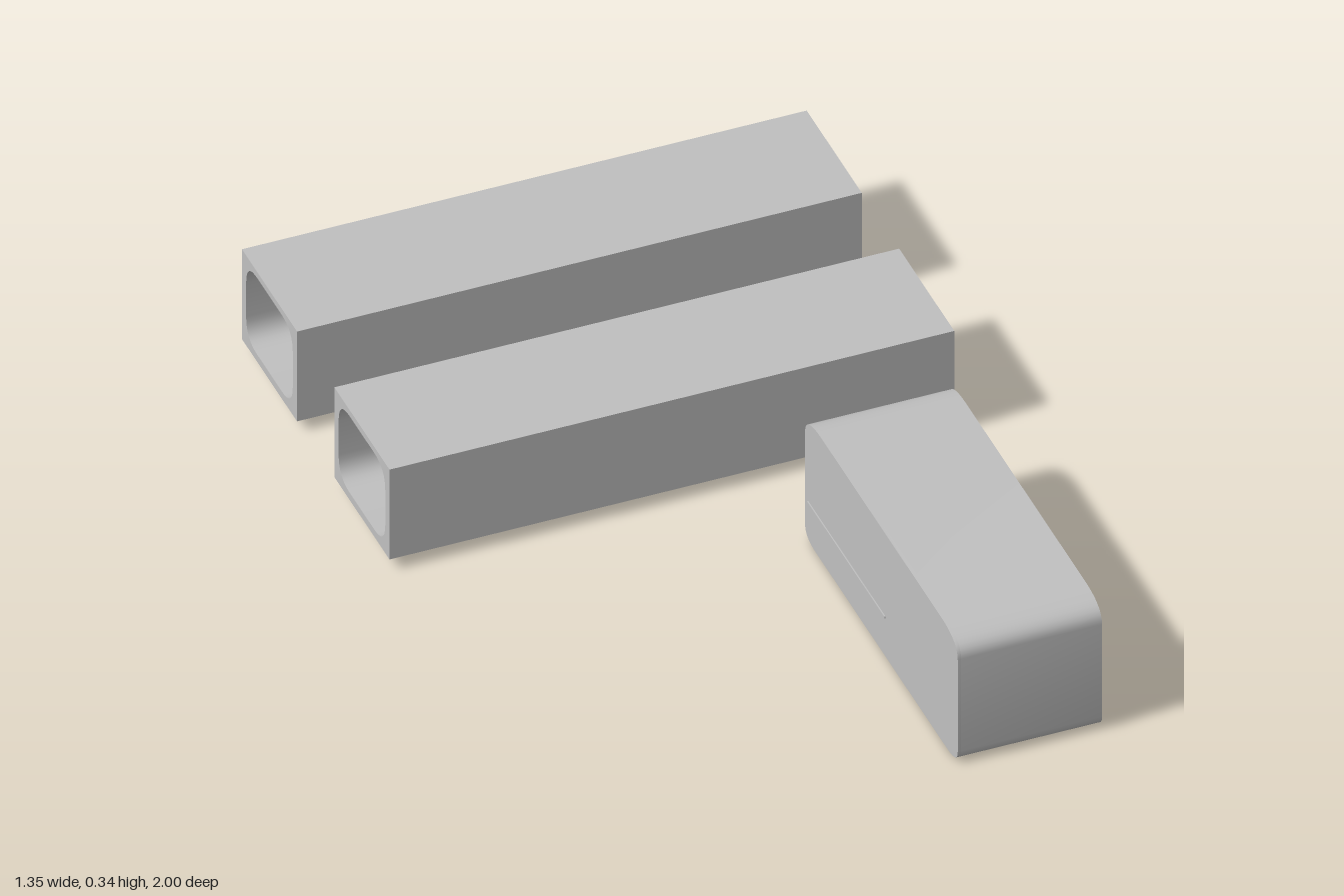
import * as THREE from 'three';
import { toCreasedNormals } from 'three/addons/utils/BufferGeometryUtils.js';

const grey = new THREE.MeshStandardMaterial({ color: 0xc0c0c0 });
grey.name = 'plain grey';

// Rounded outline in the z-y plane; rz, ry are corner radii, rb the bottom radius
function outline(Type, z0, z1, y0, y1, rz, ry, rbz = rz, rby = ry) {
  const s = new Type();
  s.moveTo(z0 + rbz, y0);
  s.lineTo(z1 - rbz, y0);
  s.quadraticCurveTo(z1, y0, z1, y0 + rby);
  s.lineTo(z1, y1 - ry);
  s.quadraticCurveTo(z1, y1, z1 - rz, y1);
  s.lineTo(z0 + rz, y1);
  s.quadraticCurveTo(z0, y1, z0, y1 - ry);
  s.lineTo(z0, y0 + rby);
  s.quadraticCurveTo(z0, y0, z0 + rbz, y0);
  return s;
}

// Extrude a z-y shape along x from x0 to x1
function extrudeX(shape, x0, x1) {
  const g = new THREE.ExtrudeGeometry(shape, { depth: x1 - x0, bevelEnabled: false, curveSegments: 8 });
  g.rotateY(-Math.PI / 2).translate(x1, 0, 0);
  return toCreasedNormals(g, 0.5);
}

function add(parent, name, geometry) {
  const m = new THREE.Mesh(geometry, grey);
  m.name = name;
  parent.add(m);
  return m;
}

// Box given by its limits
function block(parent, name, x0, x1, y0, y1, z0, z1) {
  const g = new THREE.BoxGeometry(x1 - x0, y1 - y0, z1 - z0);
  g.translate((x0 + x1) / 2, (y0 + y1) / 2, (z0 + z1) / 2);
  return add(parent, name, g);
}

// Square duct with a rounded bore
function duct(name, z0, z1) {
  const group = new THREE.Group();
  group.name = name;
  const s = new THREE.Shape([
    new THREE.Vector2(z0, 0.035), new THREE.Vector2(z1, 0.035),
    new THREE.Vector2(z1, 0.285), new THREE.Vector2(z0, 0.285),
  ]);
  s.holes.push(outline(THREE.Path, z0 + 0.025, z1 - 0.025, 0.055, 0.268, 0.065, 0.06));
  add(group, 'ductBody', extrudeX(s, -0.675, 0.675));
  return group;
}

// Faceted stone
function stone(parent, name, x, y, z, r, stretch, turn) {
  const g = new THREE.DodecahedronGeometry(r, 0);
  g.scale(1, stretch, 1).rotateX(turn).rotateY(turn * 2).translate(x, y, z);
  add(parent, name, g);
}

function createCabin() {
  const cabin = new THREE.Group();
  cabin.name = 'cabin';
  const x0 = 0.225, x1 = 0.57;
  const outer = () => outline(THREE.Shape, 0.1, 1, 0.004, 0.345, 0.1, 0.05, 0.06, 0.035);

  // Shell open on one side, closed on the other
  const ring = outer();
  ring.holes.push(outline(THREE.Path, 0.118, 0.985, 0.012, 0.338, 0.09, 0.05, 0.05, 0.03));
  add(cabin, 'cabinShell', extrudeX(ring, x0 + 0.008, x1));
  add(cabin, 'cabinSideWall', extrudeX(outer(), x0, x0 + 0.008));

  // Sloping ramp
  const ramp = new THREE.Shape([
    new THREE.Vector2(0.6, 0.012), new THREE.Vector2(0.985, 0.115),
    new THREE.Vector2(0.985, 0.175), new THREE.Vector2(0.6, 0.075),
  ]);
  add(cabin, 'ramp', extrudeX(ramp, x0 + 0.008, 0.35));

  // Counter under a thin worktop that just breaks through the wall
  block(cabin, 'counter', x0 + 0.008, 0.29, 0.012, 0.112, 0.33, 0.52);
  block(cabin, 'worktop', 0.222, 0.29, 0.111, 0.116, 0.118, 0.575);

  // Floating cabinet
  block(cabin, 'cabinet', 0.4, 0.475, 0.13, 0.275, 0.265, 0.535);

  // Chair: rounded seat, back and arm ribs
  const chair = new THREE.Group();
  chair.name = 'chair';
  cabin.add(chair);
  add(chair, 'seat', extrudeX(outline(THREE.Shape, 0.19, 0.3, 0.012, 0.1, 0.02, 0.025), 0.43, 0.54));
  block(chair, 'chairBack', 0.43, 0.53, 0.012, 0.1, 0.285, 0.34);
  for (const z of [0.293, 0.313, 0.33]) block(chair, 'chairRib', 0.53, 0.54, 0.012, 0.1, z - 0.006, z + 0.006);

  // Tilted console
  const console_ = add(cabin, 'console', new THREE.BoxGeometry(0.2, 0.042, 0.055));
  console_.position.set(0.465, 0.148, 0.158);
  console_.rotation.x = 0.12;
  return cabin;
}

export function createModel() {
  const model = new THREE.Group();
  model.name = 'cabinAndDucts';
  model.add(createCabin());

  // Front duct holds stones; rear duct is empty
  const front = duct('frontDuct', -0.455, -0.13);
  stone(front, 'largeStone', 0.1, 0.11, -0.395, 0.037, 1.3, 0.3);
  stone(front, 'smallStone', -0.2, 0.09, -0.415, 0.022, 1, 0.9);
  stone(front, 'upperStone', 0, 0.142, -0.18, 0.025, 1, 0.5);
  stone(front, 'lowerStone', 0.05, 0.085, -0.19, 0.02, 1.3, 1.1);
  stone(front, 'sideStone', -0.15, 0.11, -0.17, 0.016, 1, 0.2);

  // Hanging crystal cluster
  for (const [dy, dz, r] of [[0, 0, 0.014], [-0.02, -0.003, 0.011], [0.012, 0.018, 0.011], [0.012, -0.016, 0.01]]) {
    const g = new THREE.OctahedronGeometry(r, 0);
    add(front, 'hangingCrystal', g.scale(1, 1.2, 1).translate(0, 0.247 + dy, -0.37 + dz));
  }
  model.add(front, duct('rearDuct', -1, -0.675));
  return model;
}
